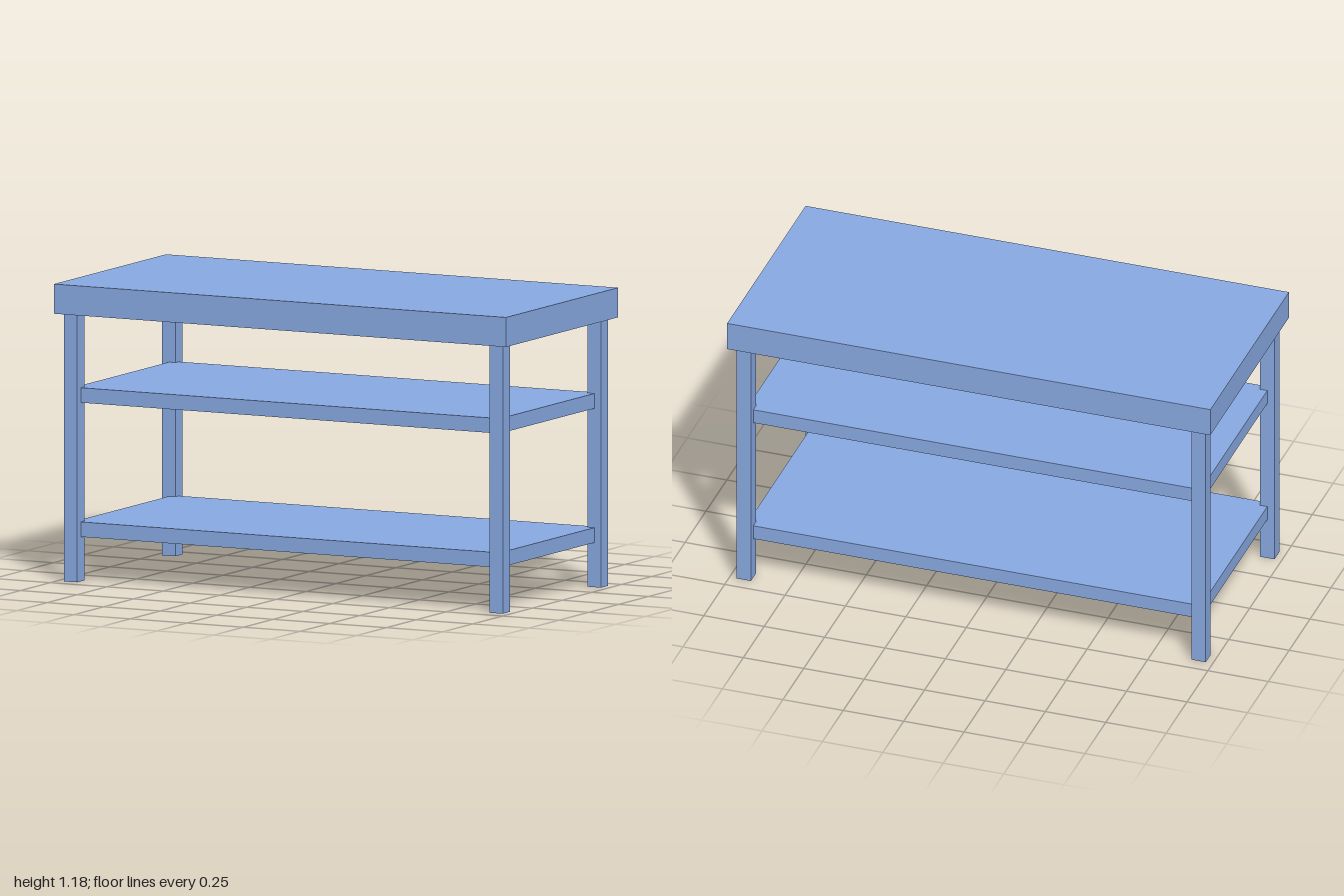
import * as THREE from 'three';

export function createModel() {
  const group = new THREE.Group();
  const color = 0x87a8e0;
  const solid = new THREE.MeshStandardMaterial({ color, flatShading: true });
  const sheet = new THREE.MeshStandardMaterial({ color, flatShading: true, side: THREE.DoubleSide });

  // Horizontal board between two heights
  const board = (name, width, depth, bottom, top) => {
    const mesh = new THREE.Mesh(new THREE.BoxGeometry(width, top - bottom, depth), solid);
    mesh.position.y = (bottom + top) / 2;
    mesh.name = name;
    group.add(mesh);
  };

  const legX = 0.941, legZ = 0.412, legWidth = 0.059, legHeight = 1.059;

  board('tableTop', 2, 0.941, legHeight, 1.176);
  // Shelves reach the leg centres
  board('upperShelf', legX * 2, legZ * 2, 0.706, 0.765);
  board('lowerShelf', legX * 2, legZ * 2, 0.176, 0.235);

  // Square tube legs, open at the foot
  const legGeometry = new THREE.CylinderGeometry(
    legWidth / Math.SQRT2, legWidth / Math.SQRT2, legHeight, 4, 1, true
  ).rotateY(Math.PI / 4);
  for (const sx of [-1, 1]) {
    for (const sz of [-1, 1]) {
      const leg = new THREE.Mesh(legGeometry, sheet);
      leg.position.set(sx * legX, legHeight / 2, sz * legZ);
      leg.name = (sz > 0 ? 'front' : 'back') + (sx > 0 ? 'Left' : 'Right') + 'Leg';
      group.add(leg);
    }
  }
  return group;
}
